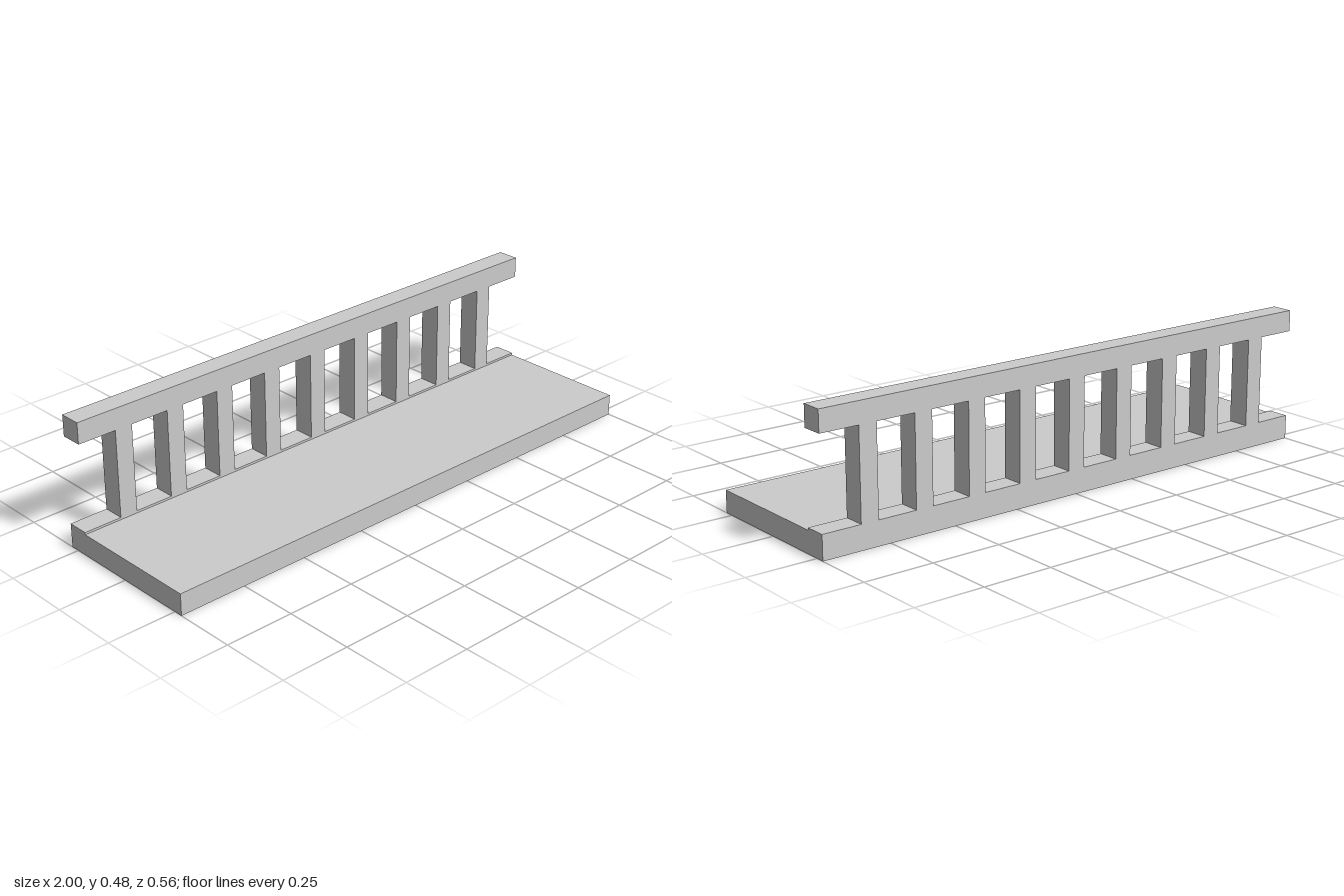
import * as THREE from 'three';

const material = new THREE.MeshStandardMaterial({ color: 0xcccccc, flatShading: true });

// Box given by its lower and upper limits on each axis
function addBox(parent, name, [x0, x1], [y0, y1], [z0, z1]) {
  const mesh = new THREE.Mesh(new THREE.BoxGeometry(x1 - x0, y1 - y0, z1 - z0), material);
  mesh.position.set((x0 + x1) / 2, (y0 + y1) / 2, (z0 + z1) / 2);
  mesh.name = name;
  parent.add(mesh);
}

export function createModel() {
  const model = new THREE.Group();
  model.name = 'balcony';
  const length = [-1, 1];
  const back = [-0.282, -0.204]; // depth shared by all railing parts
  const curbTop = 0.086, railBottom = 0.401;

  // Floor slab, with a slightly raised curb along the back
  addBox(model, 'floorSlab', length, [0, 0.078], [back[1], 0.282]);
  addBox(model, 'curb', length, [0, curbTop], back);

  // Railing: nine evenly spaced balusters under a handrail
  const railing = new THREE.Group();
  railing.name = 'railing';
  model.add(railing);
  const pitch = 0.2065, halfWidth = 0.0325;
  for (let i = -4; i <= 4; i++) {
    const x = i * pitch;
    addBox(railing, 'baluster', [x - halfWidth, x + halfWidth], [curbTop, railBottom], back);
  }
  addBox(railing, 'handrail', length, [railBottom, 0.477], back);

  return model;
}
